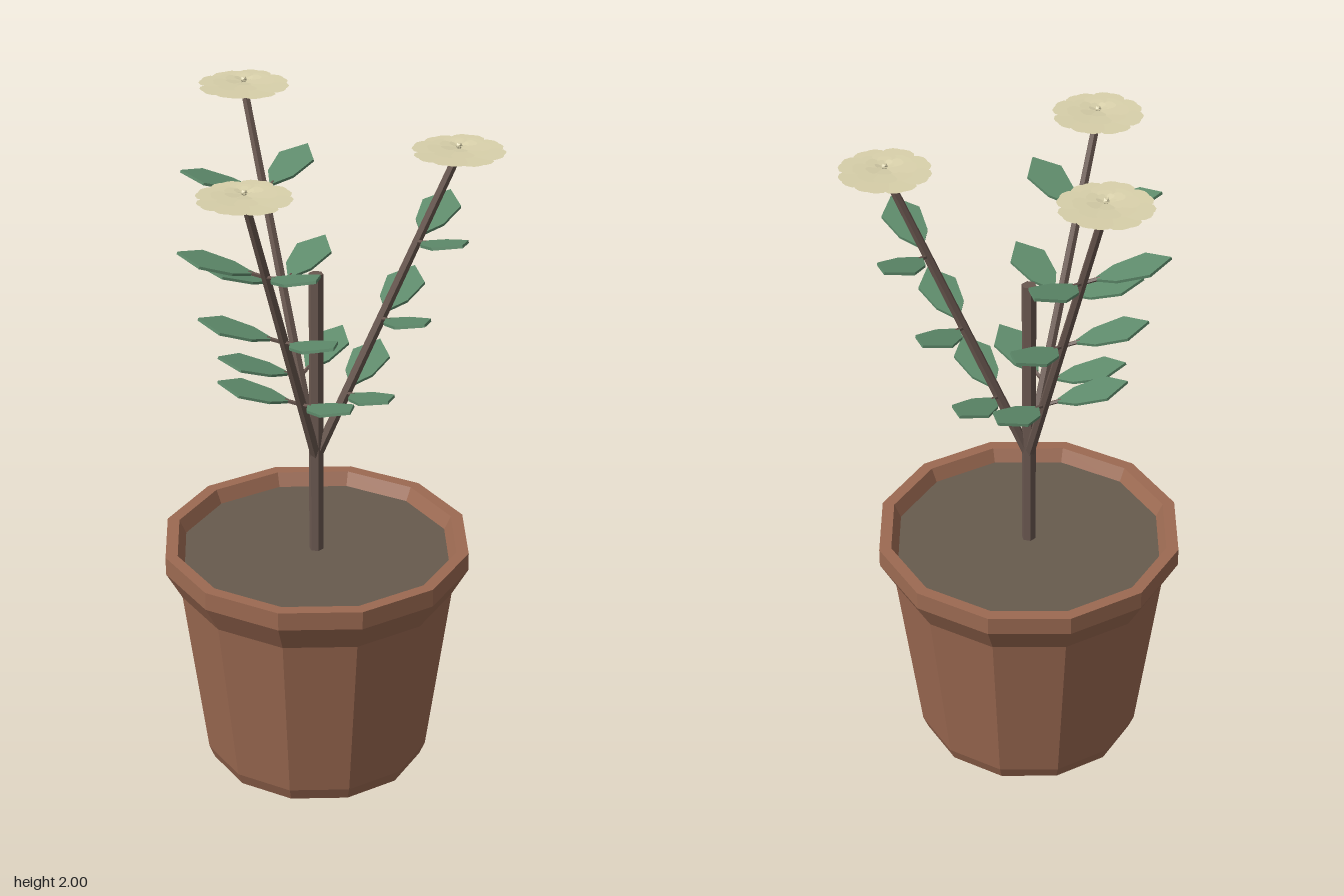
import * as THREE from 'three';

const flat = (name, color, side = THREE.FrontSide) => {
  const m = new THREE.MeshStandardMaterial({ color, flatShading: true, side });
  m.name = name;
  return m;
};
const terracotta = flat('terracotta', 0x9c6a52);
const earth = flat('earth', 0x675b4e);
const bark = flat('bark', 0x6a5850);
const leafGreen = flat('leaf green', 0x5f8c6c);
const cream = flat('cream', 0xd8d0aa, THREE.DoubleSide);

const v2 = (x, y) => new THREE.Vector2(x, y);

function add(parent, name, geometry, material) {
  const mesh = new THREE.Mesh(geometry, material);
  mesh.name = name;
  parent.add(mesh);
  return mesh;
}

// Tapered rod from point a to point b
function rod(parent, name, a, b, r0, r1, sides) {
  const dir = b.clone().sub(a);
  const mesh = add(parent, name, new THREE.CylinderGeometry(r1, r0, dir.length(), sides), bark);
  mesh.position.copy(a).add(b).multiplyScalar(0.5);
  mesh.quaternion.setFromUnitVectors(new THREE.Vector3(0, 1, 0), dir.normalize());
  return mesh;
}

// Flat outline symmetrical about the x axis, given its upper half
function mirroredShape(half) {
  const lower = half.map(([x, y]) => v2(x, -y));
  const upper = half.filter(([, y]) => y > 0).reverse().map(([x, y]) => v2(x, y));
  return new THREE.Shape([...lower, ...upper]);
}

// Angular leaf blade, thin slab pointing along +x after a short stalk
const bladeGeometry = new THREE.ExtrudeGeometry(
  mirroredShape([[0.04, 0.007], [0.09, 0.042], [0.18, 0.058], [0.245, 0]]),
  { depth: 0.008, bevelEnabled: false }
).rotateX(-Math.PI / 2).translate(0, -0.004, 0);

function makeLeaf() {
  const leaf = new THREE.Group();
  leaf.name = 'leaf';
  rod(leaf, 'leafStalk', new THREE.Vector3(0, 0, 0), new THREE.Vector3(0.05, 0, 0), 0.006, 0.006, 5);
  add(leaf, 'leafBlade', bladeGeometry, leafGreen);
  return leaf;
}

// Petal of unit length with a scalloped round end
const petalGeometry = new THREE.ShapeGeometry(
  mirroredShape([[0.05, 0.06], [0.5, 0.29], [0.72, 0.37], [0.88, 0.32], [0.97, 0.19], [0.98, 0.07], [0.965, 0]])
).rotateX(-Math.PI / 2);

function makeFlower() {
  const flower = new THREE.Group();
  flower.name = 'flower';
  // count, length, height, upward tilt, turn
  const rings = [
    [8, 0.13, 0, 0.04, 0.2],
    [8, 0.088, 0.008, 0.07, 0.6],
    [6, 0.055, 0.013, 0.16, 0.3],
    [5, 0.028, 0.018, 0.3, 0],
  ];
  rings.forEach(([count, length, y, tilt, turn]) => {
    for (let i = 0; i < count; i++) {
      const petal = add(flower, 'petal', petalGeometry, cream);
      petal.scale.setScalar(length);
      // alternate heights keep overlapping petals apart
      petal.position.y = y + (i % 2) * 0.002;
      petal.rotation.set(0, turn + (i / count) * Math.PI * 2, tilt);
    }
  });
  const bud = add(flower, 'flowerCentre', new THREE.IcosahedronGeometry(0.01, 0), cream);
  bud.position.y = 0.02;
  return flower;
}

function makeBranch(angle, height) {
  const branch = new THREE.Group();
  branch.name = 'branch';
  const start = new THREE.Vector3(0, 0.97, 0);
  const end = new THREE.Vector3(0.387, height, 0);
  rod(branch, 'branchStem', start, end, 0.016, 0.012, 6);

  // Three pairs of leaves
  for (const t of [0.22, 0.47, 0.72]) {
    for (const side of [-1, 1]) {
      const leaf = makeLeaf();
      leaf.position.lerpVectors(start, end, t);
      leaf.rotation.set(0, side * THREE.MathUtils.degToRad(63), 0.285);
      branch.add(leaf);
    }
  }
  const flower = makeFlower();
  flower.position.copy(end);
  flower.rotation.y = angle; // all blooms face the same way
  branch.add(flower);
  branch.rotation.y = -angle;
  return branch;
}

export function createModel() {
  const plant = new THREE.Group();
  plant.name = 'pottedPlant';

  // Twelve-sided pot with flared rim and inner lip
  const profile = [
    [0, 0], [0.32, 0], [0.336, 0.04], [0.405, 0.57], [0.452, 0.655],
    [0.452, 0.71], [0.416, 0.71], [0.392, 0.66],
  ].map(([r, y]) => v2(r, y));
  add(plant, 'pot', new THREE.LatheGeometry(profile, 12), terracotta);

  const soil = add(plant, 'soil', new THREE.CircleGeometry(0.396, 12).rotateX(-Math.PI / 2), earth);
  soil.position.y = 0.67;

  rod(plant, 'mainStem', new THREE.Vector3(0, 0.66, 0), new THREE.Vector3(0, 1.54, 0), 0.021, 0.021, 6);

  // Three flowering branches, the back one taller
  [[15, 1.89], [135, 1.89], [255, 1.97]].forEach(([deg, height]) => {
    plant.add(makeBranch(THREE.MathUtils.degToRad(deg), height));
  });

  plant.position.set(-0.025, 0, 0.022);
  const model = new THREE.Group();
  model.name = 'model';
  model.add(plant);
  return model;
}
